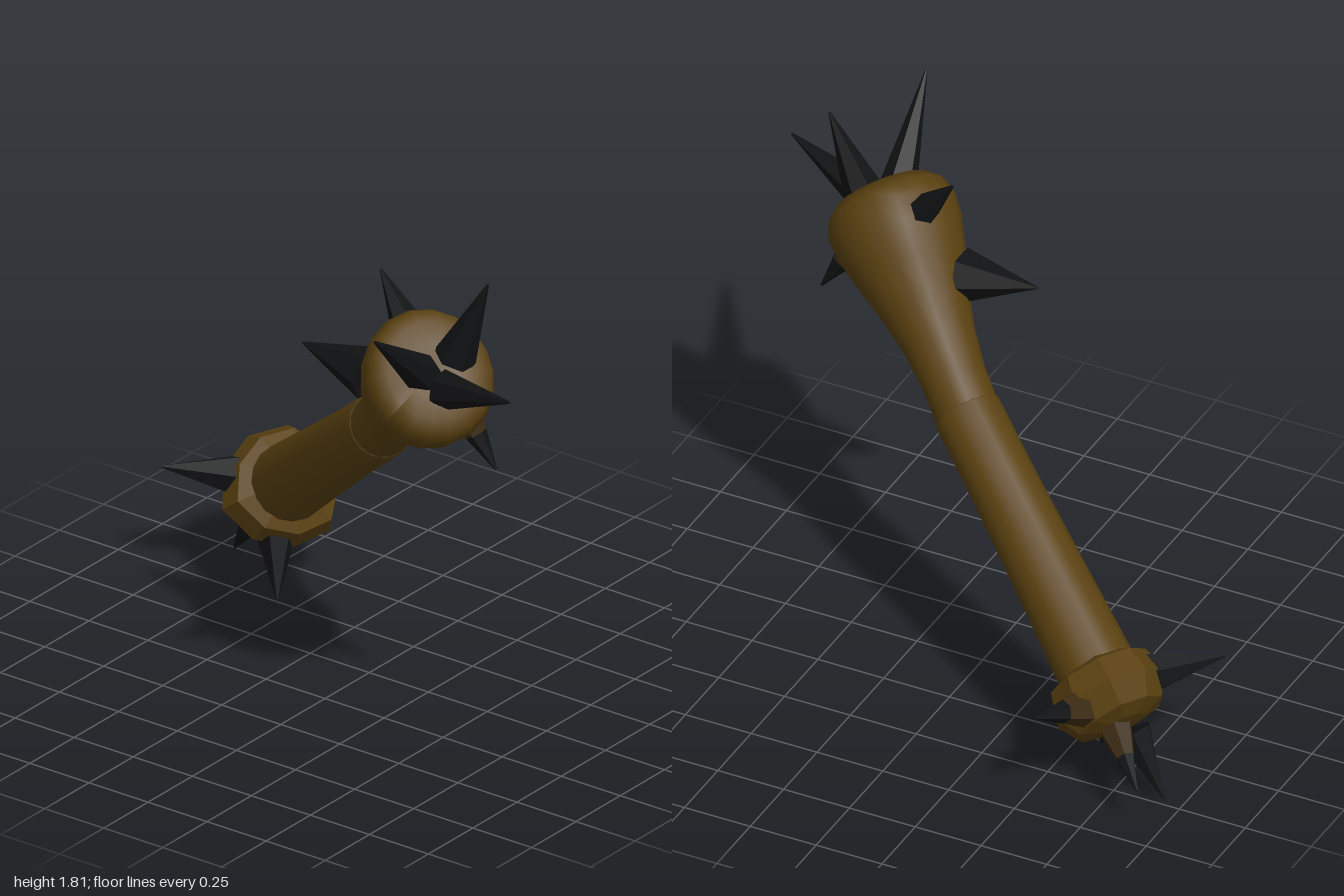
import * as THREE from 'three';

const V = (a) => new THREE.Vector3(...a);
const UP = new THREE.Vector3(0, 1, 0);
const JOINT = [0.085, 0.975, 0.04];

export function createModel() {
  const root = new THREE.Group();
  root.name = 'spikedBoneClub';

  const brown = new THREE.MeshStandardMaterial({ color: 0x5a4110 });
  brown.name = 'bone brown';
  const black = new THREE.MeshStandardMaterial({ color: 0x111214 });
  black.name = 'spike black';
  const darkBrown = new THREE.MeshStandardMaterial({ color: 0x3a2a12 });
  darkBrown.name = 'spike root brown';

  function add(name, geometry, material, from, dir) {
    const mesh = new THREE.Mesh(geometry, material);
    mesh.name = name;
    mesh.position.copy(V(from));
    mesh.quaternion.setFromUnitVectors(UP, dir.clone().normalize());
    root.add(mesh);
    return mesh;
  }

  // Lathe along +y; profile is [radius, height], lumps scales the radius by angle and height
  function limb(profile, sides, lumps) {
    const g = new THREE.LatheGeometry(profile.map(([r, h]) => new THREE.Vector2(r, h)), sides);
    if (lumps) {
      const p = g.attributes.position;
      for (let i = 0; i < p.count; i++) {
        const k = lumps(Math.atan2(p.getZ(i), p.getX(i)), p.getY(i));
        p.setX(i, p.getX(i) * k);
        p.setZ(i, p.getZ(i) * k);
      }
      g.computeVertexNormals();
    }
    return g;
  }

  const upperDir = V([0.465, 0.455, 0.35]);
  const lowerDir = V([-0.775, -0.645, -0.46]);

  // Long lower shaft, slightly wider toward the pommel
  add('lowerShaft', limb([
    [0, -0.01], [0.1, -0.01], [0.118, 0.01], [0.119, 0.3], [0.127, 0.65], [0.137, 1.0], [0.137, 1.1],
  ], 16), brown, JOINT, lowerDir);

  // Flared upper shaft ending in a rounded, slightly dished head
  add('upperHead', limb([
    [0, -0.03], [0.09, -0.03], [0.112, -0.01], [0.113, 0.12], [0.128, 0.26], [0.16, 0.4],
    [0.198, 0.53], [0.226, 0.64], [0.233, 0.72], [0.215, 0.775], [0.17, 0.815], [0.09, 0.81], [0, 0.79],
  ], 18, (a, h) => 1 + 0.03 * Math.sin(2 * a + 0.6) * THREE.MathUtils.smoothstep(h, 0.3, 0.7)),
  brown, JOINT, upperDir);

  // Faceted knob at the lower end
  const knob = limb([
    [0.12, 1.0], [0.185, 1.03], [0.212, 1.12], [0.16, 1.205], [0.08, 1.23], [0, 1.235],
  ], 9, (a) => 1 + 0.05 * Math.sin(3 * a + 1)).toNonIndexed();
  knob.computeVertexNormals();
  add('lowerKnob', knob, brown, JOINT, lowerDir);

  // Six-sided spike from a base point to a tip, sunk a little into the bone
  function spike(name, base, tip, radius, twoTone) {
    const dir = V(tip).sub(V(base)).normalize();
    const start = V(base).addScaledVector(dir, -0.03);
    const length = start.distanceTo(V(tip));
    const split = twoTone ? 0.45 : 0;
    const part = (partName, r0, r1, h0, h1, material) => {
      const g = new THREE.CylinderGeometry(r1, r0, h1 - h0, 6).translate(0, (h0 + h1) / 2, 0).toNonIndexed();
      g.computeVertexNormals();
      add(partName, g, material, start.toArray(), dir);
    };
    if (twoTone) part(name + 'Root', radius, radius * (1 - split), 0, length * split, darkBrown);
    part(name, radius * (1 - split), 0.004, length * split, length, black);
  }

  // Spikes around the upper head
  [
    [[0.39, 1.53, 0.3], [0.25, 1.7, 0.27], 0.07],
    [[0.56, 1.48, 0.47], [0.62, 1.74, 0.8], 0.07],
    [[0.63, 1.53, 0.34], [0.75, 1.81, 0.33], 0.075],
    [[0.67, 1.43, 0.44], [1.0, 1.52, 0.54], 0.07],
    [[0.65, 1.3, 0.33], [0.77, 1.11, 0.31], 0.07, true],
    [[0.2, 1.32, 0.31], [-0.05, 1.35, 0.31], 0.095],
  ].forEach(([b, t, r, two], i) => spike('upperSpike' + (i + 1), b, t, r, two));

  // Spikes around the lower knob
  [
    [[-0.81, 0.385, -0.31], [-1.0, 0.42, -0.16], 0.08],
    [[-0.79, 0.25, -0.54], [-0.93, 0.16, -0.68], 0.06, true],
    [[-0.81, 0.2, -0.45], [-0.93, 0.01, -0.48], 0.07],
    [[-0.65, 0.2, -0.34], [-0.585, 0.0, -0.26], 0.08],
    [[-0.665, 0.36, -0.58], [-0.6, 0.43, -0.8], 0.075, true],
  ].forEach(([b, t, r, two], i) => spike('lowerSpike' + (i + 1), b, t, r, two));

  return root;
}
